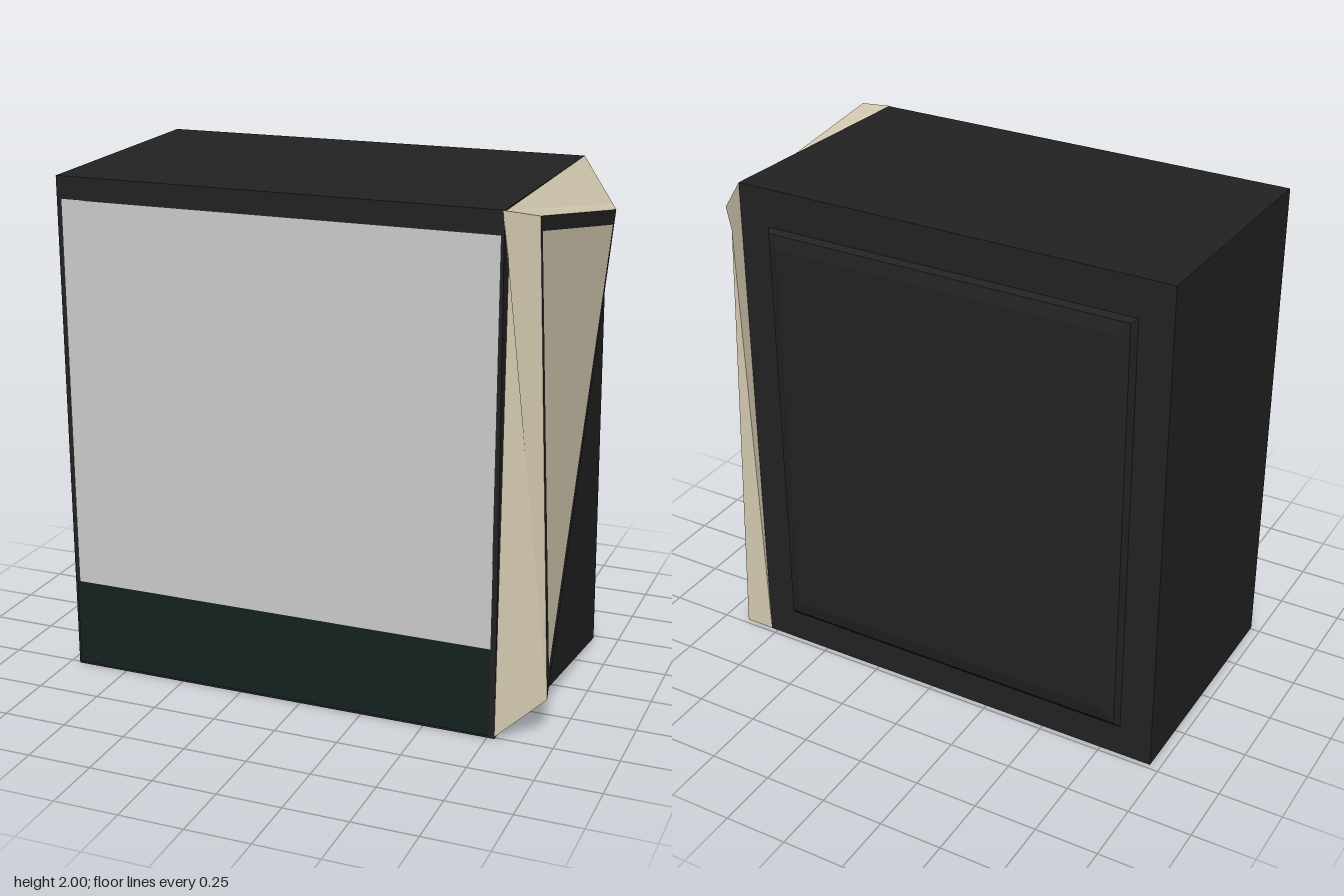
import * as THREE from 'three';

const mat = (color, side = THREE.FrontSide) => new THREE.MeshStandardMaterial({ color, flatShading: true, side });
const BLACK = 0x222222, TAN = 0xd4c9b0, GREY = 0xcccccc, GREEN = 0x14211f;

// flat facets: each polygon is fanned from its first corner, counter-clockwise from outside
function facets(name, color, polygons) {
  const pos = [];
  for (const p of polygons)
    for (let i = 1; i < p.length - 1; i++) pos.push(...p[0], ...p[i], ...p[i + 1]);
  const geo = new THREE.BufferGeometry();
  geo.setAttribute('position', new THREE.Float32BufferAttribute(pos, 3));
  geo.computeVertexNormals();
  const mesh = new THREE.Mesh(geo, mat(color, THREE.DoubleSide));
  mesh.name = name;
  return mesh;
}

// quad on the front plane
const frontQuad = (x0, x1, y0, y1, z) => [[x0, y0, z], [x1, y0, z], [x1, y1, z], [x0, y1, z]];

export function createModel() {
  const model = new THREE.Group();

  // main case: a box whose top dips slightly towards the front
  const boxGeo = new THREE.BoxGeometry(1.74, 2, 0.99);
  boxGeo.translate(-0.09, 1, 0.015);
  const p = boxGeo.attributes.position;
  for (let i = 0; i < p.count; i++) {
    if (p.getZ(i) > 0 && p.getY(i) > 1) {
      p.setY(i, 1.975);
      if (p.getX(i) > 0) p.setX(i, 0.765);
    }
  }
  boxGeo.computeVertexNormals();
  const body = new THREE.Mesh(boxGeo, mat(BLACK));
  body.name = 'caseBody';
  model.add(body);

  // front window and the dark band under it
  model.add(facets('frontPanel', GREY, [frontQuad(-0.94, 0.757, 0.36, 1.89, 0.515)]));
  model.add(facets('frontLowerBand', GREEN, [frontQuad(-0.95, 0.757, 0.01, 0.36, 0.515)]));

  // raised back panel with a two-step bevel
  const rings = [[-0.83, 0.66, 0.13, 1.85, -0.48], [-0.815, 0.64, 0.16, 1.84, -0.508], [-0.77, 0.6, 0.22, 1.79, -0.52]]
    .map(([x0, x1, y0, y1, z]) => frontQuad(x0, x1, y0, y1, z).reverse());
  const backFaces = [rings[2]];
  for (let r = 0; r < 2; r++)
    for (let i = 0; i < 4; i++) {
      const j = (i + 1) % 4;
      backFaces.push([rings[r][i], rings[r][j], rings[r + 1][j], rings[r + 1][i]]);
    }
  model.add(facets('backPanel', BLACK, backFaces));

  // side frame corners: on the case...
  const topFront = [0.76, 1.975, 0.515], upperFront = [0.785, 1.8, 0.515], bottomFront = [0.78, 0.01, 0.515];
  const topBack = [0.78, 2, -0.48], bottomBack = [0.78, 0, -0.48];
  // ...and on the outer edge
  const P = [0.89, 1.965, 0.51], Q = [0.955, 0.16, 0.44], R = [0.945, 1.83, -0.34];
  const ridge = [0.92, 1.84, -0.39], S = [0.9, 1.75, -0.39], T = [0.885, 0.1, 0.4], heel = [0.9, 0, -0.48];

  const side = new THREE.Group();
  side.name = 'sideCover';
  side.add(facets('sideFrame', TAN, [
    [topFront, P, R, ridge, topBack],
    [Q, P, topFront, upperFront, bottomFront],
    [T, Q, bottomFront, bottomBack, heel],
    [S, heel, bottomBack, topBack, ridge],
    [S, ridge, R, Q, T],
  ]));
  side.add(facets('lowerSidePanel', BLACK, [[S, T, heel]]));

  // upper triangle: dark border around an inset panel in the same plane
  const plane = new THREE.Plane().setFromCoplanarPoints(...[P, Q, R].map(v => new THREE.Vector3(...v)));
  const { x: nx, y: ny, z: nz } = plane.normal;
  const outer = [P, Q, R];
  const inner = [[1.91, 0.49], [0.28, 0.42], [1.78, -0.3]]
    .map(([y, z]) => [-(plane.constant + ny * y + nz * z) / nx, y, z]);
  side.add(facets('upperPanelBorder', BLACK, outer.map((v, i) => {
    const j = (i + 1) % 3;
    return [v, outer[j], inner[j], inner[i]];
  })));
  side.add(facets('upperSidePanel', TAN, [inner]));
  model.add(side);

  return model;
}
